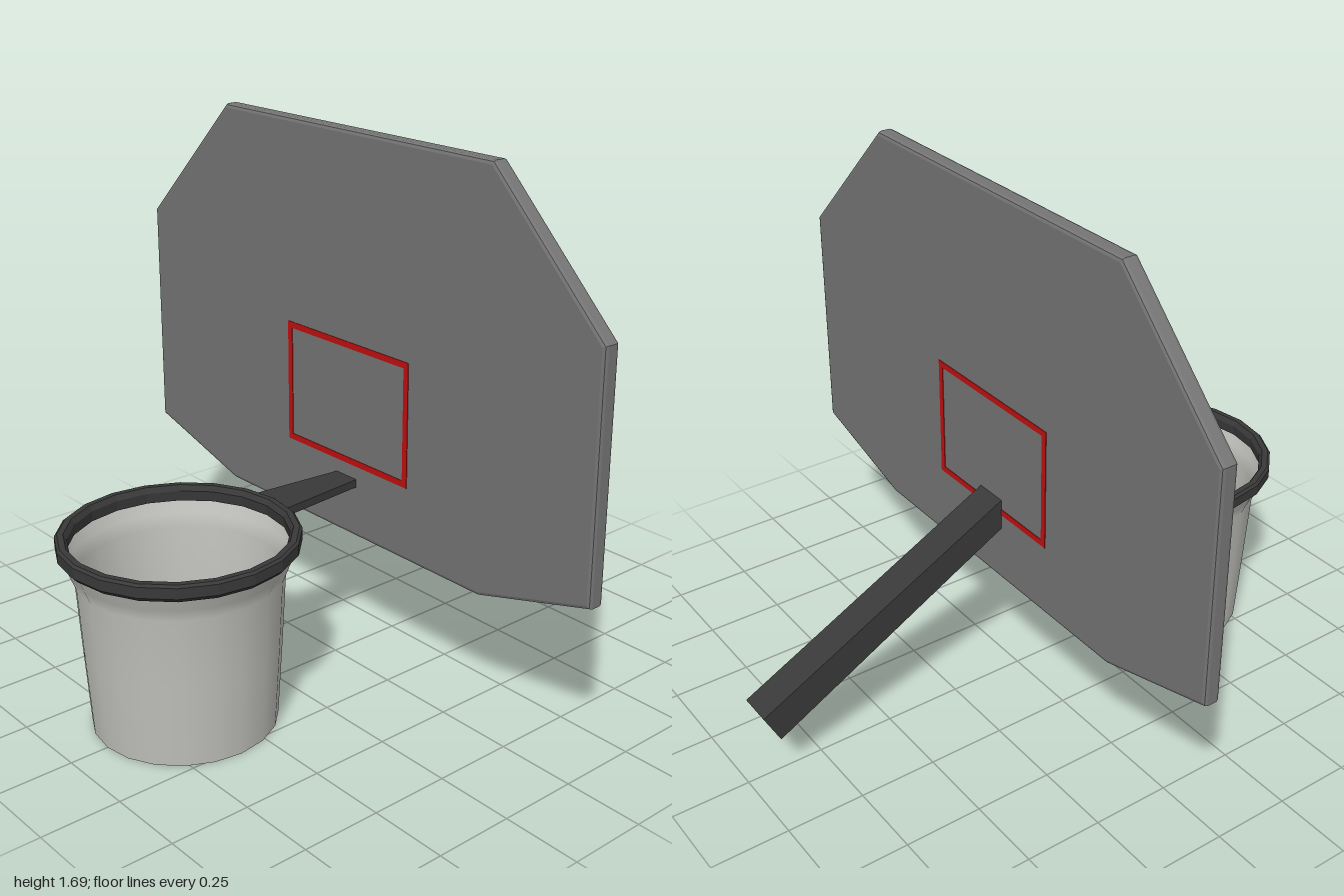
import * as THREE from 'three';

const boardGrey = new THREE.MeshStandardMaterial({ name: 'boardGrey', color: 0x757575 });
const darkMetal = new THREE.MeshStandardMaterial({ name: 'darkMetal', color: 0x393939, flatShading: true });
const targetRed = new THREE.MeshStandardMaterial({ name: 'targetRed', color: 0xc01010 });
const netGrey = new THREE.MeshStandardMaterial({ name: 'netGrey', color: 0xc0c0bc, side: THREE.DoubleSide });

const HOOP_Z = 0.597;
const BOARD_FRONT = -0.045;
const BOARD_BACK = -0.1;

function part(name, geometry, material) {
  const mesh = new THREE.Mesh(geometry, material);
  mesh.name = name;
  return mesh;
}

function polygon(points) {
  return new THREE.Shape(points.map(([x, y]) => new THREE.Vector2(x, y)));
}

function extrude(shape, depth) {
  return new THREE.ExtrudeGeometry(shape, { depth, bevelEnabled: false });
}

function lathe(profile, segments) {
  return new THREE.LatheGeometry(profile.map(([r, y]) => new THREE.Vector2(r, y)), segments);
}

// Eight-sided board with a softened rim
function createBoard() {
  const bevel = 0.012;
  const half = [[0.58, 0.422], [0.988, 0.538], [0.988, 1.275], [0.58, 1.681]];
  const mirrored = half.map(([x, y]) => [-x, y]).reverse();
  const geometry = new THREE.ExtrudeGeometry(polygon([...half, ...mirrored]), {
    depth: BOARD_FRONT - BOARD_BACK - 2 * bevel,
    bevelThickness: bevel, bevelSize: bevel, bevelSegments: 2,
  });
  geometry.translate(0, 0, BOARD_BACK + bevel);
  return part('backboard', geometry, boardGrey);
}

// Thin target rectangle, painted on one face of the board
function createTarget(name, z) {
  const frame = polygon([[-0.28, 0.65], [0.275, 0.65], [0.275, 1.048], [-0.28, 1.048]]);
  frame.holes.push(polygon([[-0.26, 0.67], [-0.26, 1.028], [0.255, 1.028], [0.255, 0.67]]));
  const geometry = extrude(frame, 0.004);
  geometry.translate(0, 0, z - 0.002);
  return part(name, geometry, targetRed);
}

export function createModel() {
  const model = new THREE.Group();
  model.name = 'basketballHoop';

  model.add(createBoard());
  model.add(createTarget('frontTarget', BOARD_FRONT));
  model.add(createTarget('backTarget', BOARD_BACK));

  // Hoop: closed ring profile, faceted
  const rim = part('rim', lathe([
    [0.325, 0.562], [0.345, 0.558], [0.358, 0.572], [0.358, 0.605],
    [0.35, 0.612], [0.332, 0.612], [0.322, 0.595], [0.325, 0.562],
  ], 20), darkMetal);
  rim.position.z = HOOP_Z;
  model.add(rim);

  // Net: open sleeve that flares at the top
  const net = part('net', lathe([
    [0.28, 0], [0.296, 0.25], [0.309, 0.48], [0.325, 0.52], [0.342, 0.565],
  ], 20), netGrey);
  net.position.z = HOOP_Z;
  model.add(net);

  // Flat tapered bracket from the board to the hoop
  const bracketGeometry = extrude(polygon([
    [-0.045, 0.06], [-0.075, -0.26], [0.075, -0.26], [0.045, 0.06],
  ]), 0.026);
  bracketGeometry.rotateX(-Math.PI / 2);
  bracketGeometry.translate(0, 0.58, 0);
  model.add(part('rimBracket', bracketGeometry, darkMetal));

  // Sloping support arm behind the board, drawn as a side profile
  const armGeometry = extrude(polygon([
    [0.09, 0.605], [0.905, 0.16], [0.955, 0.26], [0.09, 0.707],
  ]), 0.11);
  armGeometry.translate(0, 0, -0.055);
  armGeometry.rotateY(Math.PI / 2);
  model.add(part('supportArm', armGeometry, darkMetal));

  return model;
}
